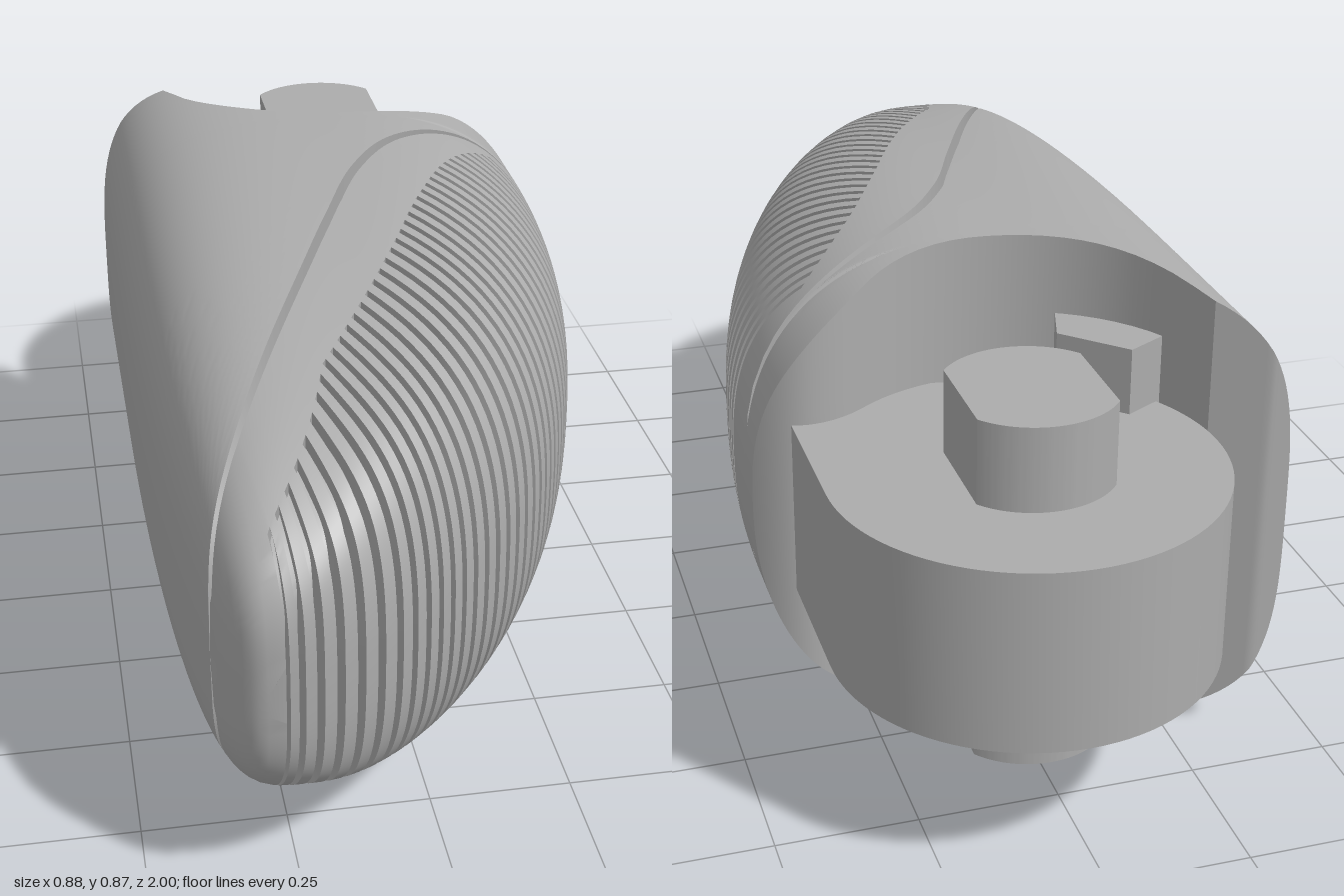
import * as THREE from 'three';
import { toCreasedNormals } from 'three/addons/utils/BufferGeometryUtils.js';

const MID = 0.437; // height of the symmetry plane
const clamp = THREE.MathUtils.clamp;
const lerp = THREE.MathUtils.lerp;

// Plan outline and half height of the rounded body along z
const dome = (z, len) => 1 - (1 - clamp((1 - z) / len, 0, 1)) ** 2;
const rightEdge = z => -0.28 + 0.72 * dome(z, 1.3) ** 0.625;
const leftEdge = z => -0.28 - 0.16 * dome(z, 1.1) ** 0.3;
const halfHeight = z => 0.435 * dome(z, 1.3) ** 0.29;

// Superellipse section: boxier on the -x side, rounder on the +x side
function section(x, z) {
  z = Math.min(z, 0.9995);
  const l = leftEdge(z), r = rightEdge(z);
  const s = (2 * x - l - r) / (r - l);
  return { s: Math.abs(s), n: s < 0 ? 3.5 : 2.5, h: halfHeight(z) };
}
function surfaceY(x, z) {
  const { s, n, h } = section(x, z);
  return h * Math.max(0, 1 - s ** n) ** (1 / n);
}
function field(x, y, z) {
  const { s, n, h } = section(x, z);
  return s ** n + (y / h) ** n;
}

// Point on the upper surface, sunk inwards by depth
function surfacePoint(x, z, depth = 0) {
  const p = new THREE.Vector3(x, surfaceY(x, z), z);
  if (depth > 0) {
    const e = 0.0005, zz = Math.min(z, 0.998), f = field(x, p.y, zz);
    const n = new THREE.Vector3(
      field(x + e, p.y, zz) - field(x - e, p.y, zz),
      2 * (field(x, p.y + e, zz) - f),
      2 * (f - field(x, p.y, zz - e))).normalize();
    if (p.y < 1e-4) n.y = 0;
    p.addScaledVector(n, -depth);
    p.y = Math.max(p.y, 0);
  }
  return p;
}

// Row from the upper half, mirrored to the lower half
function mirrorRow(upper) {
  const lower = upper.map(p => new THREE.Vector3(p.x, MID - p.y, p.z)).reverse();
  return [...upper.map(p => new THREE.Vector3(p.x, MID + p.y, p.z)), ...lower];
}

function loft(rows, flip = false) {
  const pos = [], idx = [], w = rows[0].length;
  rows.forEach(row => row.forEach(p => pos.push(p.x, p.y, p.z)));
  for (let i = 0; i < rows.length - 1; i++) {
    for (let j = 0; j < w - 1; j++) {
      const a = i * w + j, b = a + w, c = a + 1, d = b + 1;
      if (flip) idx.push(a, c, b, c, d, b);
      else idx.push(a, b, c, c, b, d);
    }
  }
  const g = new THREE.BufferGeometry();
  g.setAttribute('position', new THREE.Float32BufferAttribute(pos, 3));
  g.setIndex(idx);
  return toCreasedNormals(g, 0.6);
}

// Seam curve on the plan (x, z); the middle value runs along the outline round the tip
const seam = new THREE.CatmullRomCurve3([
  [-0.382, -0.316, 0.87], [-0.37, -0.2, 0.84], [-0.32, 0, 0.73], [-0.24, 0.248, 0.54],
  [-0.16, 0.41, 0.35], [-0.08, 0.575, 0.15], [0, 0.71, -0.04], [0.1, 0.84, -0.18],
  [0.25, 0.945, -0.27], [0.44, 1, -0.3],
].map(p => new THREE.Vector3(...p)));

// One fan line of the ribbed pad, from the seam out to the outline
function padRow(t, sunk) {
  const g = seam.getPoint(t), w = g.y;
  const pz = 1 - 1.3 * w * w;
  const px = w < 0 ? leftEdge(pz) : rightEdge(pz);
  const at = (u, depth) => surfacePoint(lerp(px, g.x, u), lerp(pz, g.z, u), depth);
  const gap = Math.min(0.5, 0.02 / (Math.hypot(px - g.x, pz - g.z) + 1e-6));
  const inner = 1 - gap;
  const q = Math.min(lerp(0.32, 0.68, clamp(w / 0.3, 0, 1)), inner);
  const slot = sunk ? 0.03 : 0;
  const pts = [at(1, 0), at(1, 0.04), at(inner, 0.04)];
  for (let i = 0; i <= 5; i++) pts.push(at(lerp(inner, q, i / 5), 0));
  for (let i = 20; i >= 0; i--) pts.push(at(q * (i / 20) ** 2.2, slot));
  return mirrorRow(pts);
}

function ribbedPad() {
  const rows = [], start = 2 / 9, end = 8.15 / 9, count = 38;
  for (let i = 0; i < 12; i++) rows.push(padRow(start * i / 12, false));
  const pitch = (end - start) / count;
  for (let i = 0; i < count; i++) {
    const a = start + i * pitch, b = a + pitch * 0.4;
    rows.push(padRow(a, false), padRow(a, true), padRow(b, true), padRow(b, false));
  }
  for (let i = 0; i <= 8; i++) rows.push(padRow(lerp(end, 1, i / 8), false));
  return loft(rows, true);
}

// Back edge of the shell: a round pocket between two lips
function backEdge(x) {
  if (x < -0.295) return lerp(-0.6, -0.65, Math.min(1, (-0.295 - x) / 0.1));
  if (x < 0.24) return -0.65 + Math.sqrt(Math.max(0, 0.1156 - (x - 0.04) ** 2));
  return -0.415 + (x < 0.345 ? 3.6 : 6) * (x - 0.345) ** 2;
}

function shellRow(right, z, k) {
  const pts = [], cols = 64, l = leftEdge(z);
  for (let i = cols; i >= 0; i--) {
    const v = i / cols;
    const f = v < 0.5 ? 0.5 * (2 * v) ** 2.5 : 1 - 0.5 * (2 - 2 * v) ** 2.5;
    const x = lerp(l, right, f);
    pts.push(surfacePoint(x, lerp(z, backEdge(x), k)));
  }
  return mirrorRow(pts);
}

function shellRows() {
  const rows = [];
  for (let i = 0; i <= 70; i++) {
    const g = seam.getPoint(i / 70);
    rows.push(shellRow(g.x, g.z, 0));
  }
  for (let k = 1; k <= 6; k++) rows.push(shellRow(0.44, -0.3, k / 6));
  return rows;
}

// Upright prism from a plan shape whose y is the model's z
function prism(shape, bottom, top) {
  const g = new THREE.ExtrudeGeometry(shape, { depth: top - bottom, bevelEnabled: false, curveSegments: 24 });
  g.rotateX(Math.PI / 2).translate(0, top, 0);
  return toCreasedNormals(g, 0.3);
}

export function createModel() {
  const model = new THREE.Group();
  model.name = 'footPeg';
  const metal = new THREE.MeshStandardMaterial({ color: 0xacacac });
  metal.name = 'grey metal';
  const add = (name, geometry) => {
    const mesh = new THREE.Mesh(geometry, metal);
    mesh.name = name;
    model.add(mesh);
  };

  // Smooth shell and its curved rear wall
  const rows = shellRows();
  add('shell', loft(rows));
  const rim = rows[rows.length - 1], half = rim.length / 2;
  add('rearPocketWall', loft([rim.slice(0, half), rim.slice(half).reverse()]));

  // Ribbed grip pad with the seam groove around it
  add('ribbedPad', ribbedPad());

  // Hinge lug with a rounded end
  const lug = new THREE.Shape();
  lug.moveTo(0.377, -0.36);
  lug.lineTo(0.377, -0.663);
  lug.absarc(0.04, -0.663, 0.337, 0, -Math.PI, true);
  lug.absarc(0.04, -0.663, 0.337, Math.PI, Math.PI / 2, true);
  lug.lineTo(0.2, -0.3);
  add('hingeLug', prism(lug, 0.28, 0.605));

  // Pivot pin with two flats
  const pin = new THREE.Shape();
  const a = Math.acos(0.118 / 0.15);
  pin.absarc(0.038, -0.667, 0.15, a, Math.PI - a, false);
  pin.absarc(0.038, -0.667, 0.15, Math.PI + a, -a, false);
  pin.closePath();
  add('pivotPin', prism(pin, 0.125, 0.755));

  // Stop block in the pocket
  const stop = new THREE.Shape([
    [-0.28, -0.48], [-0.19, -0.53], [-0.09, -0.43], [-0.12, -0.33],
  ].map(p => new THREE.Vector2(...p)));
  add('stopBlock', prism(stop, 0.15, 0.727));
  return model;
}
